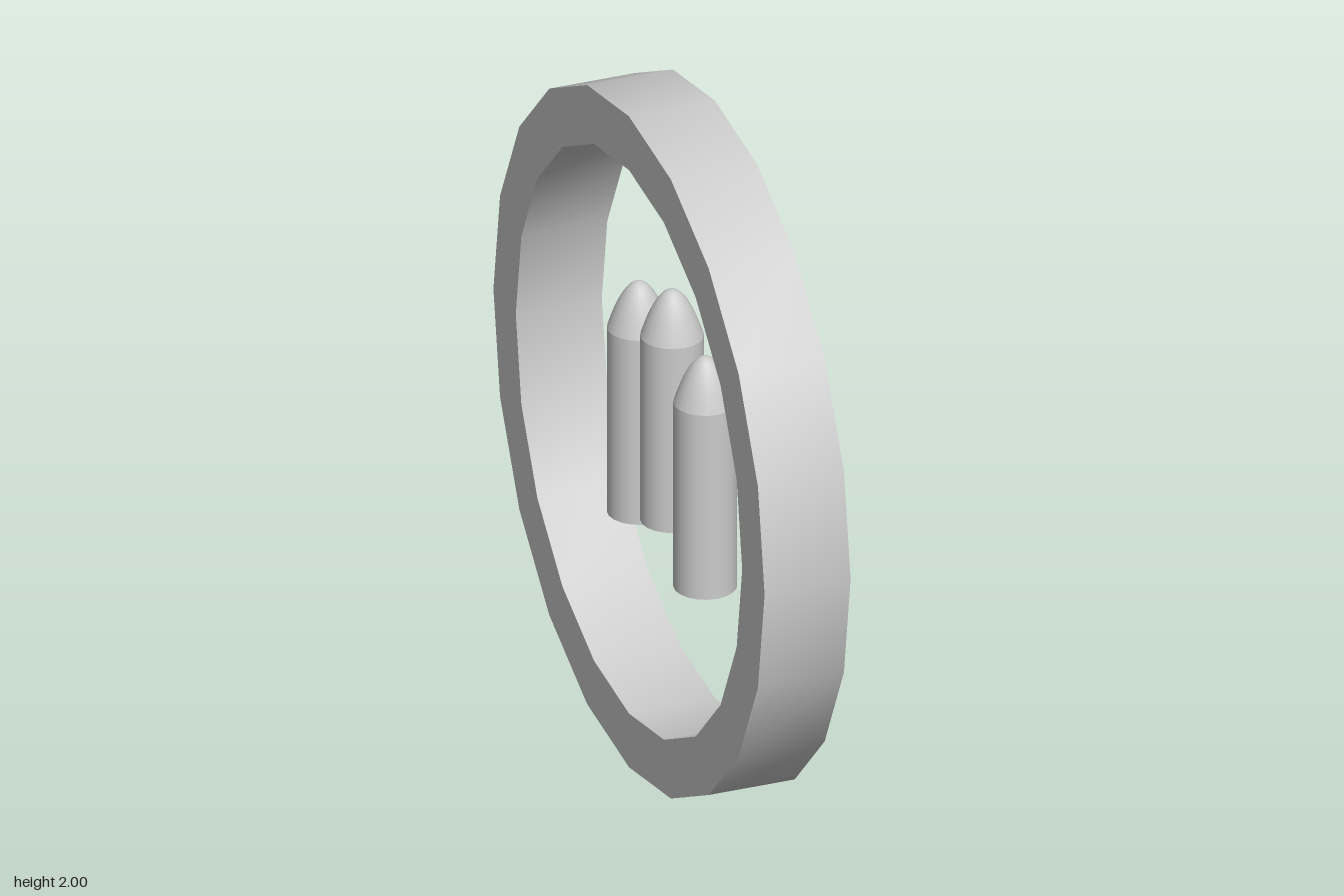
import * as THREE from 'three';
import { toCreasedNormals } from 'three/addons/utils/BufferGeometryUtils.js';

const material = new THREE.MeshStandardMaterial({ color: 0xcccccc });

function addMesh(parent, geometry, name) {
  const mesh = new THREE.Mesh(geometry, material);
  mesh.name = name;
  parent.add(mesh);
  return mesh;
}

function polygonPoints(radius, sides) {
  return Array.from({ length: sides }, (_, i) => {
    const a = (i / sides) * Math.PI * 2;
    return new THREE.Vector2(Math.cos(a) * radius, Math.sin(a) * radius);
  });
}

// Twenty-sided band with rounded shading and crisp rims, axis along x
function ringGeometry(outer, inner, width) {
  const shape = new THREE.Shape(polygonPoints(outer, 20));
  shape.holes.push(new THREE.Path(polygonPoints(inner, 20)));
  const geometry = new THREE.ExtrudeGeometry(shape, { depth: width, bevelEnabled: false });
  geometry.translate(0, 0, -width / 2);
  geometry.rotateY(Math.PI / 2);
  return toCreasedNormals(geometry, 0.5);
}

// Cartridge: straight closed-bottom body with a parabolic nose
function createCartridge(name) {
  const radius = 0.088, bodyHeight = 0.565, noseHeight = 0.14, sides = 20;
  const group = new THREE.Group();
  group.name = name;

  const body = new THREE.CylinderGeometry(radius, radius, bodyHeight, sides);
  addMesh(group, body, 'cartridgeBody').position.y = bodyHeight / 2;

  const steps = 10;
  const profile = Array.from({ length: steps + 1 }, (_, i) => {
    const r = 1 - i / steps;
    return new THREE.Vector2(radius * r, noseHeight * (1 - r * r));
  });
  const nose = new THREE.LatheGeometry(profile, sides);
  addMesh(group, nose, 'cartridgeNose').position.y = bodyHeight;
  return group;
}

export function createModel() {
  const model = new THREE.Group();
  model.name = 'ringWithCartridges';

  addMesh(model, ringGeometry(1, 0.835, 0.254), 'ring').position.y = 1;

  // Middle cartridge stands higher than its two neighbours
  const places = [['frontCartridge', 0.65, 0.245], ['middleCartridge', 0.74, 0], ['backCartridge', 0.65, -0.245]];
  for (const [name, y, z] of places) {
    const cartridge = createCartridge(name);
    cartridge.position.set(0, y, z);
    model.add(cartridge);
  }
  return model;
}
